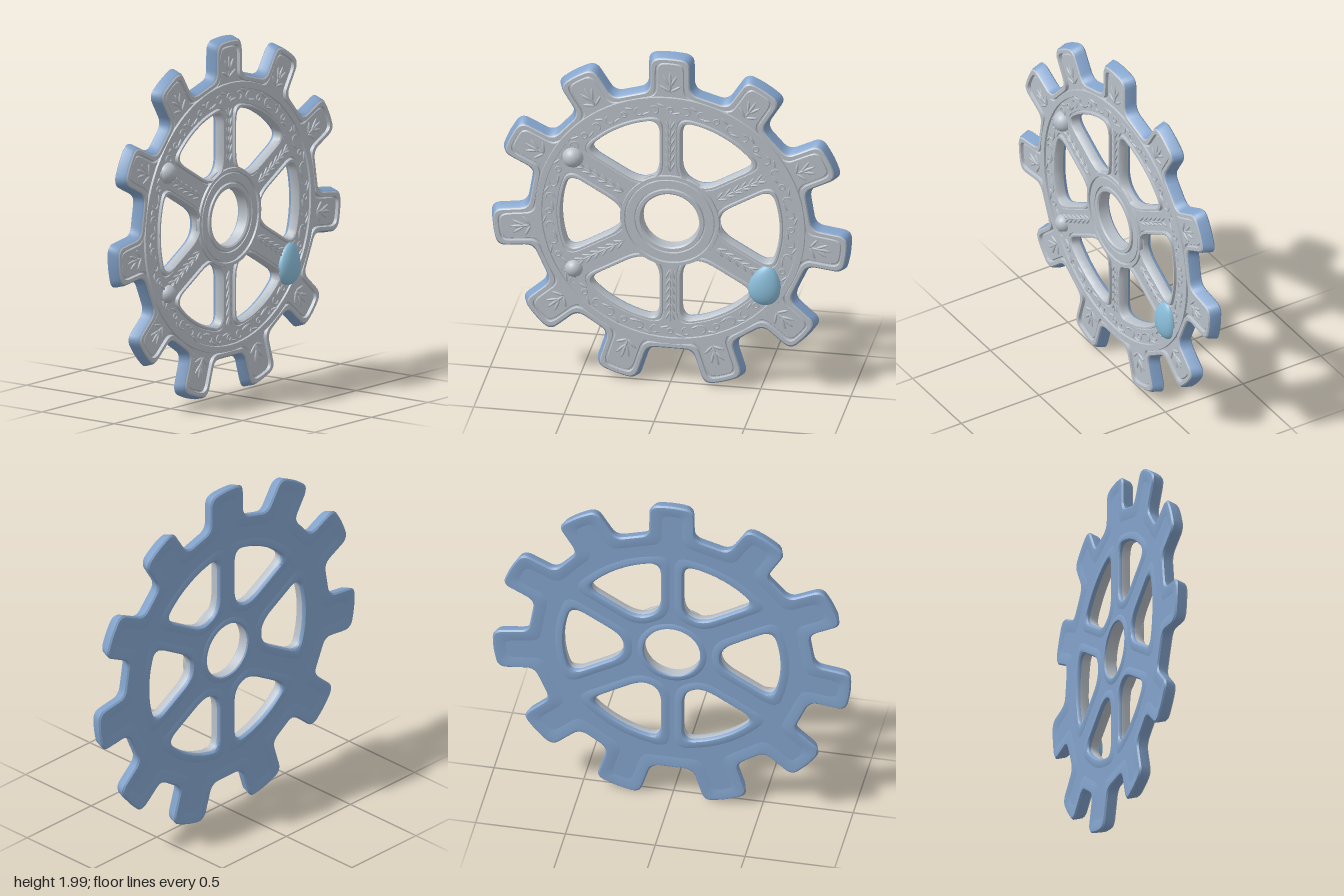
import * as THREE from 'three';
import { toCreasedNormals, mergeGeometries } from 'three/addons/utils/BufferGeometryUtils.js';

const material = (name, color) => Object.assign(new THREE.MeshStandardMaterial({ color }), { name });
const V = (x, y) => new THREE.Vector2(x, y);
const polar = (r, a) => V(r * Math.cos(a), r * Math.sin(a));

// Move every edge of a counter-clockwise polygon outward by d
function offset(poly, d) {
  const n = poly.length;
  return poly.map((p, i) => {
    const a = p.clone().sub(poly[(i + n - 1) % n]).normalize();
    const b = poly[(i + 1) % n].clone().sub(p).normalize();
    const n1 = V(a.y, -a.x), n2 = V(b.y, -b.x);
    return p.clone().addScaledVector(n1.clone().add(n2), d / (1 + n1.dot(n2)));
  });
}

// Round each corner with a short curve, always giving the same point count
function rounded(poly, radius, steps = 6) {
  const n = poly.length, out = [];
  poly.forEach((p, i) => {
    const toward = (q) => {
      const l = p.distanceTo(q);
      return p.clone().lerp(q, Math.min(radius, l * 0.45) / l);
    };
    const curve = new THREE.QuadraticBezierCurve(toward(poly[(i + n - 1) % n]), p, toward(poly[(i + 1) % n]));
    out.push(...curve.getPoints(steps));
  });
  return out;
}

// Skin a closed outline through steps of [outward offset, z]
function loft(poly, radius, steps) {
  const pos = [], idx = [];
  let n = 0;
  for (const [d, z] of steps) {
    const loop = rounded(offset(poly, d), radius);
    n = loop.length;
    for (const p of loop) pos.push(p.x, p.y, z);
  }
  for (let s = 0; s < steps.length - 1; s++) {
    for (let j = 0; j < n; j++) {
      const k = (j + 1) % n, a = s * n, b = a + n;
      idx.push(a + j, a + k, b + k, a + j, b + k, b + j);
    }
  }
  const g = new THREE.BufferGeometry();
  g.setAttribute('position', new THREE.Float32BufferAttribute(pos, 3));
  g.setIndex(idx);
  return toCreasedNormals(g, 0.6);
}

// Turned ring about the z axis from [radius, z] pairs
function ring(profile) {
  const g = new THREE.LatheGeometry(profile.map(([r, z]) => V(r, z)), 80);
  return toCreasedNormals(g.rotateX(Math.PI / 2), 0.6);
}

export function createModel() {
  const stone = material('grey stone', 0xb9c0c8);
  const blue = material('blue body', 0x82a2ca);
  const gem = material('light blue gem', 0x8abdd9);

  const model = new THREE.Group();
  const wheel = new THREE.Group();
  wheel.name = 'gearWheel';
  wheel.position.y = 0.998;
  model.add(wheel);
  const add = (name, geometry, mat) => {
    const m = new THREE.Mesh(geometry, mat);
    m.name = name;
    wheel.add(m);
    return m;
  };

  // Outline corners: eleven teeth, slightly unevenly spaced, mirrored left to right
  const TEETH = 11, gear = [], lean = [0, 0.01, 0.03, 0.015, 0, 0.02];
  const toothAngle = (i) => {
    const shift = i < 6 ? -lean[i] : lean[TEETH - i];
    return Math.PI / 2 + (i * 2 * Math.PI) / TEETH + shift;
  };
  for (let i = 0; i < TEETH; i++) {
    const a = toothAngle(i), tip = i === 5 || i === 6 ? 1.012 : 1;
    gear.push(polar(0.8, a - 0.16), polar(tip, a - 0.126), polar(tip + 0.004, a),
      polar(tip, a + 0.126), polar(0.8, a + 0.16));
  }

  // Window corners: six openings; each pair is the half width of the spoke before and after
  const SPOKES = 6;
  const spokeWidths = [[0.075, 0.075], [0.078, 0.058], [0.058, 0.105], [0.075, 0.075], [0.105, 0.058], [0.058, 0.105]];
  const windows = spokeWidths.map(([before, after], i) => {
    const a = (i * Math.PI) / 3;
    const edge = (r, w) => Math.PI / 6 - Math.asin(w / r);
    const from = a - edge(0.61, before), to = a + edge(0.61, after);
    const poly = [polar(0.275, a - edge(0.275, before))];
    for (let k = 0; k <= 3; k++) poly.push(polar(0.612, from + ((to - from) * k) / 3));
    poly.push(polar(0.275, a + edge(0.275, after)));
    return poly;
  });

  // Flat plate with windows and bore cut out
  const plate = (edge, windowGrow, bore) => {
    const s = new THREE.Shape(rounded(offset(gear, edge), 0.05));
    for (const w of windows) s.holes.push(new THREE.Path(rounded(offset(w, windowGrow), 0.09)));
    s.holes.push(new THREE.Path().absarc(0, 0, bore, 0, Math.PI * 2, true));
    return new THREE.ShapeGeometry(s, 40);
  };
  add('frontPlate', plate(-0.056, 0.024, 0.2).translate(0, 0, 0.01), stone);
  // The rear plate is mirrored by turning it, so it is flipped back by negating x
  const back = plate(-0.07, 0.045, 0.19).scale(-1, 1, 1).rotateY(Math.PI).translate(0, 0, -0.046);
  back.index.array.reverse();
  back.computeVertexNormals();
  add('backPlate', back, blue);

  // Outer wall and raised tooth border with its groove
  add('outerWall', loft(gear, 0.05,
    [[-0.07, -0.046], [-0.025, -0.054], [-0.008, -0.053], [0, -0.044], [-0.012, 0.006], [-0.018, 0.014]]), blue);
  add('toothBorder', loft(gear, 0.05,
    [[-0.018, 0.014], [-0.024, 0.02], [-0.042, 0.02], [-0.045, 0.002], [-0.051, 0.002], [-0.056, 0.01]]), stone);

  // Window rims, walls and rear lips
  for (const w of windows) {
    add('windowRim', loft(w, 0.09, [[0.024, 0.01], [0.022, 0.003], [0.018, 0.003], [0.015, 0.02],
      [0.005, 0.02], [0, 0.014], [-0.006, -0.02], [-0.005, -0.032]]), stone);
    add('windowBackLip', loft(w, 0.09,
      [[-0.005, -0.032], [-0.003, -0.044], [0.004, -0.052], [0.018, -0.054], [0.045, -0.046]]), blue);
  }

  // Hub and decorative ring
  add('hub', ring([[0.28, 0.003], [0.276, 0.003], [0.272, 0.022], [0.254, 0.022], [0.251, 0.008], [0.246, 0.008],
    [0.243, 0.018], [0.198, 0.018], [0.195, 0.008], [0.19, 0.008], [0.187, 0.022],
    [0.168, 0.022], [0.16, 0.014], [0.157, -0.045]]), stone);
  add('hubBackLip', ring([[0.157, -0.045], [0.162, -0.053], [0.175, -0.054], [0.195, -0.045]]), blue);
  add('bandRing', ring([[0.75, 0.008], [0.747, 0.021], [0.713, 0.021], [0.71, 0.008]]), stone);

  // Carving helpers: a slim leaf and a curled scroll in the front plane
  const leaf = (x, y, angle, length, width) => new THREE.SphereGeometry(1, 8, 6)
    .scale(length / 2, width / 2, 0.008).translate(length / 2, 0, 0)
    .rotateZ(angle).translate(x, y, 0.011);
  const scroll = (p, radius, start, sweep) => new THREE.TorusGeometry(radius, 0.005, 5, 14, sweep)
    .rotateZ(start).translate(p.x, p.y, 0.012);

  // Leaf sprig on each tooth
  const sprigs = [];
  for (let i = 0; i < TEETH; i++) {
    const a = toothAngle(i), base = polar(0.78, a), mid = polar(0.81, a);
    sprigs.push(leaf(base.x, base.y, a, 0.12, 0.018));
    for (const s of [-1, 1]) {
      sprigs.push(leaf(mid.x, mid.y, a + s * 0.5, 0.08, 0.016));
      sprigs.push(leaf(base.x, base.y, a + s * 1.0, 0.07, 0.016));
    }
  }
  add('toothSprigs', mergeGeometries(sprigs), stone);

  // Scrolls around the band
  const scrolls = [];
  for (let i = 0; i < 48; i++) {
    const a = (i * 2 * Math.PI) / 48, out = i % 2;
    scrolls.push(scroll(polar(0.672, a), i % 3 ? 0.022 : 0.015, a + out * Math.PI, i % 3 ? 4 : 6.28));
    const p = polar(out ? 0.66 : 0.688, a + 0.04);
    scrolls.push(leaf(p.x, p.y, a + Math.PI / 2 + (out ? 0.35 : -0.35), 0.055, 0.012));
  }
  add('bandScrolls', mergeGeometries(scrolls), stone);

  // Vine with paired leaves on each spoke
  const vines = [];
  for (let i = 0; i < SPOKES; i++) {
    const a = Math.PI / 2 + (i * Math.PI) / 3, root = polar(0.29, a);
    vines.push(leaf(root.x, root.y, a, 0.33, 0.01));
    for (let k = 0; k < 6; k++) {
      const p = polar(0.3 + k * 0.05, a);
      for (const s of [-1, 1]) vines.push(leaf(p.x, p.y, a + s * 0.45, 0.06, 0.013));
    }
  }
  add('spokeVines', mergeGeometries(vines), stone);

  // Domed studs and egg-shaped gem, both with flat undersides set into the front
  const dome = (r) => new THREE.SphereGeometry(r, 28, 12, 0, Math.PI * 2, 0, Math.PI / 2).rotateX(Math.PI / 2);
  add('upperStud', dome(0.06), stone).position.set(-0.54, 0.335, 0);
  add('lowerStud', dome(0.051), stone).position.set(-0.535, -0.34, 0.002);
  const egg = new THREE.SphereGeometry(1, 32, 24), p = egg.attributes.position;
  for (let i = 0; i < p.count; i++) {
    const taper = 1 - 0.2 * p.getY(i), z = p.getZ(i);
    p.setXYZ(i, p.getX(i) * taper * 0.088, p.getY(i) * 0.119, z * taper * (z > 0 ? 0.046 : 0.012));
  }
  egg.computeVertexNormals();
  const eggGem = add('eggGem', egg, gem);
  eggGem.position.set(0.527, -0.347, 0.012);
  eggGem.rotation.z = -0.15;

  return model;
}
